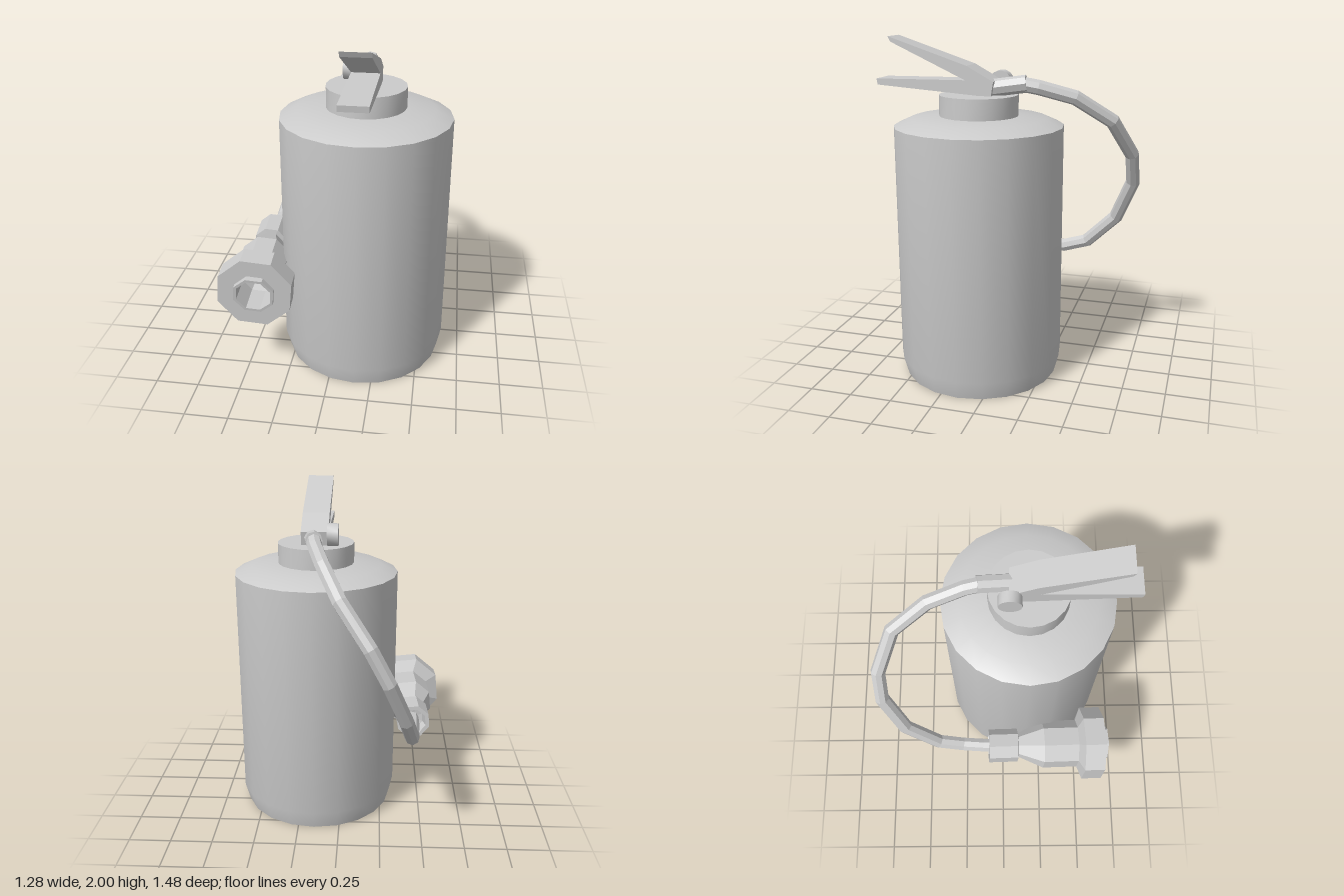
import * as THREE from 'three';
import { toCreasedNormals } from 'three/addons/utils/BufferGeometryUtils.js';

const smooth = new THREE.MeshStandardMaterial({ color: 0xcccccc });
const flat = new THREE.MeshStandardMaterial({ color: 0xcccccc, flatShading: true });
const v2 = ([x, y]) => new THREE.Vector2(x, y);
const v3 = (p) => new THREE.Vector3(...p);

function lathe(profile, sides, phiStart = 0) {
  return new THREE.LatheGeometry(profile.map(v2), sides, phiStart);
}

// Tube whose rings sit exactly on the given points
function tube(points, radius, sides) {
  const curve = new THREE.CatmullRomCurve3(points.map(v3));
  curve.getPointAt = (t, target) => curve.getPoint(t, target);
  curve.getTangentAt = (t, target) => curve.getTangent(t, target);
  return new THREE.TubeGeometry(curve, points.length - 1, radius, sides);
}

export function createModel() {
  const model = new THREE.Group();
  const add = (name, geometry, material) => {
    const mesh = new THREE.Mesh(geometry, material);
    mesh.name = name;
    model.add(mesh);
    return mesh;
  };

  // Tank with bevelled foot and sloping shoulder
  const tank = lathe([[0, 0], [0.46, 0], [0.49, 0.11], [0.49, 1.505], [0.39, 1.55], [0.2, 1.562]], 20);
  add('tank', toCreasedNormals(tank, 0.45), smooth).position.set(0.155, 0, 0.145);

  // Neck cap
  const cap = new THREE.CylinderGeometry(0.228, 0.228, 0.13, 20);
  add('neckCap', toCreasedNormals(cap, 0.6), smooth).position.set(0.155, 1.615, 0.145);

  // Squeeze handle: forked side outline (z, y) extruded across x
  const outline = new THREE.Shape([
    [0.05, 1.675], [0.735, 1.725], [0.74, 1.76], [0.2, 1.765],
    [0.645, 1.97], [0.66, 2.0], [0.19, 1.845], [0.035, 1.76],
  ].map(([z, y]) => new THREE.Vector2(-z, y)));
  const handle = new THREE.ExtrudeGeometry(outline, { depth: 0.16, bevelEnabled: false });
  handle.rotateY(Math.PI / 2);
  add('squeezeHandle', handle, flat).position.x = 0.075;

  // Round gauge on the side of the handle
  const gauge = new THREE.CylinderGeometry(0.065, 0.065, 0.065, 14).rotateZ(Math.PI / 2);
  add('gauge', toCreasedNormals(gauge, 0.6), smooth).position.set(0.048, 1.745, 0.04);

  // Sleeve joining hose to handle
  const from = v3([0.17, 1.718, 0.07]);
  const to = v3([0.146, 1.747, -0.135]);
  const sleeve = add('hoseSleeve', new THREE.CylinderGeometry(0.05, 0.05, from.distanceTo(to), 8), flat);
  sleeve.position.copy(from).lerp(to, 0.5);
  sleeve.quaternion.setFromUnitVectors(new THREE.Vector3(0, 1, 0), to.clone().sub(from).normalize());

  // Hose looping behind the tank down to the nozzle
  add('hose', tube([
    [0.15, 1.745, -0.1], [0.135, 1.727, -0.2], [0.08, 1.67, -0.4], [-0.02, 1.53, -0.6],
    [-0.18, 1.31, -0.7], [-0.28, 1.12, -0.7], [-0.38, 0.86, -0.59], [-0.425, 0.67, -0.4],
    [-0.432, 0.622, -0.25], [-0.44, 0.617, -0.12], [-0.44, 0.617, 0.02],
  ], 0.043, 8), flat);

  // Nozzle: collar, flaring horn, wide rim and hollow mouth
  const nozzle = lathe([
    [0, -0.02], [0.065, -0.03], [0.08, -0.09], [0.104, -0.09], [0.104, 0.09], [0.075, 0.095],
    [0.148, 0.25], [0.148, 0.465], [0.226, 0.495], [0.226, 0.62], [0.122, 0.62], [0.122, 0.645],
    [0.105, 0.645], [0.105, 0.46], [0.05, 0.3], [0, 0.3],
  ], 8, 17 * Math.PI / 180).rotateX(Math.PI / 2);
  // Slant the mouth lip so its top stands proud
  const p = nozzle.attributes.position;
  for (let i = 0; i < p.count; i++) {
    if (p.getZ(i) > 0.64) p.setZ(i, 0.645 + p.getY(i) * 0.1);
  }
  const horn = add('nozzle', nozzle, flat);
  horn.position.set(-0.443, 0.617, 0);
  horn.rotation.set(0.065, 0.04, 0);

  return model;
}
